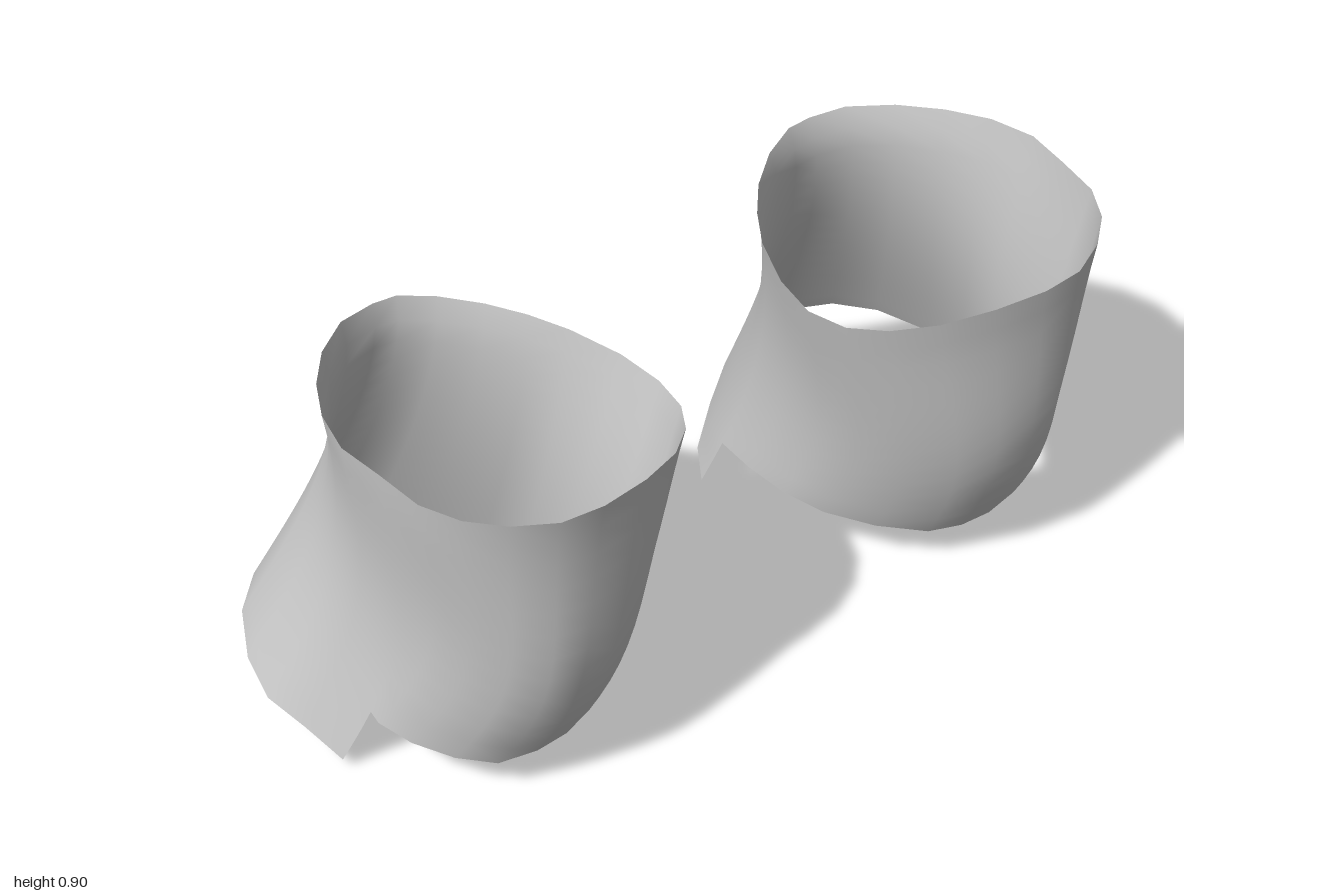
import * as THREE from 'three';

// Fabric lines running down the sleeve: top x, y, z, then hem x, y, z.
// Back panel: from the outer notch round the back to the inner notch.
const BACK = [
  [0.90, 0.90, 0.23, 0.94, 0.03, 0.055],
  [0.915, 0.905, 0.12, 0.97, 0.07, -0.04],
  [0.89, 0.905, 0.01, 1.00, 0.10, -0.14],
  [0.84, 0.90, -0.09, 0.98, 0.125, -0.25],
  [0.77, 0.895, -0.18, 0.92, 0.145, -0.37],
  [0.68, 0.89, -0.25, 0.84, 0.155, -0.45],
  [0.59, 0.885, -0.27, 0.72, 0.145, -0.52],
  [0.53, 0.88, -0.27, 0.62, 0.12, -0.53],
  [0.45, 0.86, -0.24, 0.53, 0.085, -0.49],
  [0.37, 0.84, -0.18, 0.43, 0.055, -0.42],
  [0.31, 0.825, -0.11, 0.32, 0.025, -0.33],
  [0.26, 0.81, -0.03, 0.27, 0.0, -0.25],
];
// Front panel: from the inner side round the front to the outer side.
const FRONT = [
  [0.215, 0.795, 0.09, 0.275, 0.145, -0.08],
  [0.20, 0.785, 0.20, 0.285, 0.14, 0.04],
  [0.22, 0.79, 0.30, 0.32, 0.13, 0.14],
  [0.27, 0.805, 0.38, 0.39, 0.12, 0.24],
  [0.35, 0.825, 0.45, 0.48, 0.11, 0.32],
  [0.46, 0.845, 0.50, 0.56, 0.105, 0.345],
  [0.58, 0.855, 0.525, 0.64, 0.105, 0.35],
  [0.68, 0.86, 0.52, 0.73, 0.11, 0.335],
  [0.77, 0.87, 0.48, 0.80, 0.125, 0.28],
  [0.84, 0.88, 0.42, 0.86, 0.15, 0.21],
  [0.885, 0.89, 0.34, 0.895, 0.175, 0.14],
];
const COLUMNS = [...BACK, ...FRONT];
const ROWS = 12;        // rows of the closed tube
const FLAP_ROWS = 3;    // extra rows of the longer back panel
const NOTCH = 0.82;     // where the notch starts along a back line

// Point at fraction t down a line, bowed in at the sides and forward overall.
function linePoint([x0, y0, z0, x1, y1, z1], t) {
  const dir = new THREE.Vector2((x0 - 0.56) / 0.355, (z0 - 0.12) / 0.4).normalize();
  const bow = Math.sin(Math.PI * Math.pow(t, 1.05 + 0.38 * dir.y));
  const pinch = dir.x > 0 ? -0.065 : -0.03;
  return [
    THREE.MathUtils.lerp(x0, x1, t) + pinch * dir.x * bow,
    THREE.MathUtils.lerp(y0, y1, t),
    THREE.MathUtils.lerp(z0, z1, t) + (0.035 + 0.03 * Math.abs(dir.y)) * bow,
  ];
}

function sleeveGeometry(side) {
  const positions = [];
  const index = [];
  const n = COLUMNS.length;
  const add = (column, t) => {
    const [x, y, z] = linePoint(column, t);
    positions.push(x * side, y, z);
  };
  const quad = (a, b, c, d) => {
    if (side > 0) index.push(a, c, b, b, c, d);
    else index.push(a, b, c, b, d, c);
  };

  // Closed tube down to the notch height
  for (let r = 0; r <= ROWS; r++) {
    COLUMNS.forEach((column, i) => add(column, (r / ROWS) * (i < BACK.length ? NOTCH : 1)));
  }
  for (let r = 0; r < ROWS; r++) {
    for (let i = 0; i < n; i++) {
      const j = (i + 1) % n;
      quad(r * n + i, r * n + j, (r + 1) * n + i, (r + 1) * n + j);
    }
  }

  // Longer back flap, continuing from the last tube row
  const start = (ROWS + 1) * n;
  const m = BACK.length;
  for (let r = 1; r <= FLAP_ROWS; r++) {
    BACK.forEach((column) => add(column, NOTCH + (1 - NOTCH) * (r / FLAP_ROWS)));
  }
  const flapRow = (r) => (r === 0 ? ROWS * n : start + (r - 1) * m);
  for (let r = 0; r < FLAP_ROWS; r++) {
    for (let i = 0; i < m - 1; i++) {
      const a = flapRow(r) + i;
      const c = flapRow(r + 1) + i;
      quad(a, a + 1, c, c + 1);
    }
  }

  const geometry = new THREE.BufferGeometry();
  geometry.setAttribute('position', new THREE.Float32BufferAttribute(positions, 3));
  geometry.setIndex(index);
  geometry.computeVertexNormals();
  return geometry;
}

export function createModel() {
  const group = new THREE.Group();
  group.name = 'sleevePair';
  const material = new THREE.MeshStandardMaterial({ color: 0xcccccc, side: THREE.DoubleSide });
  for (const [name, side] of [['leftSleeve', 1], ['rightSleeve', -1]]) {
    const sleeve = new THREE.Mesh(sleeveGeometry(side), material);
    sleeve.name = name;
    group.add(sleeve);
  }
  return group;
}
